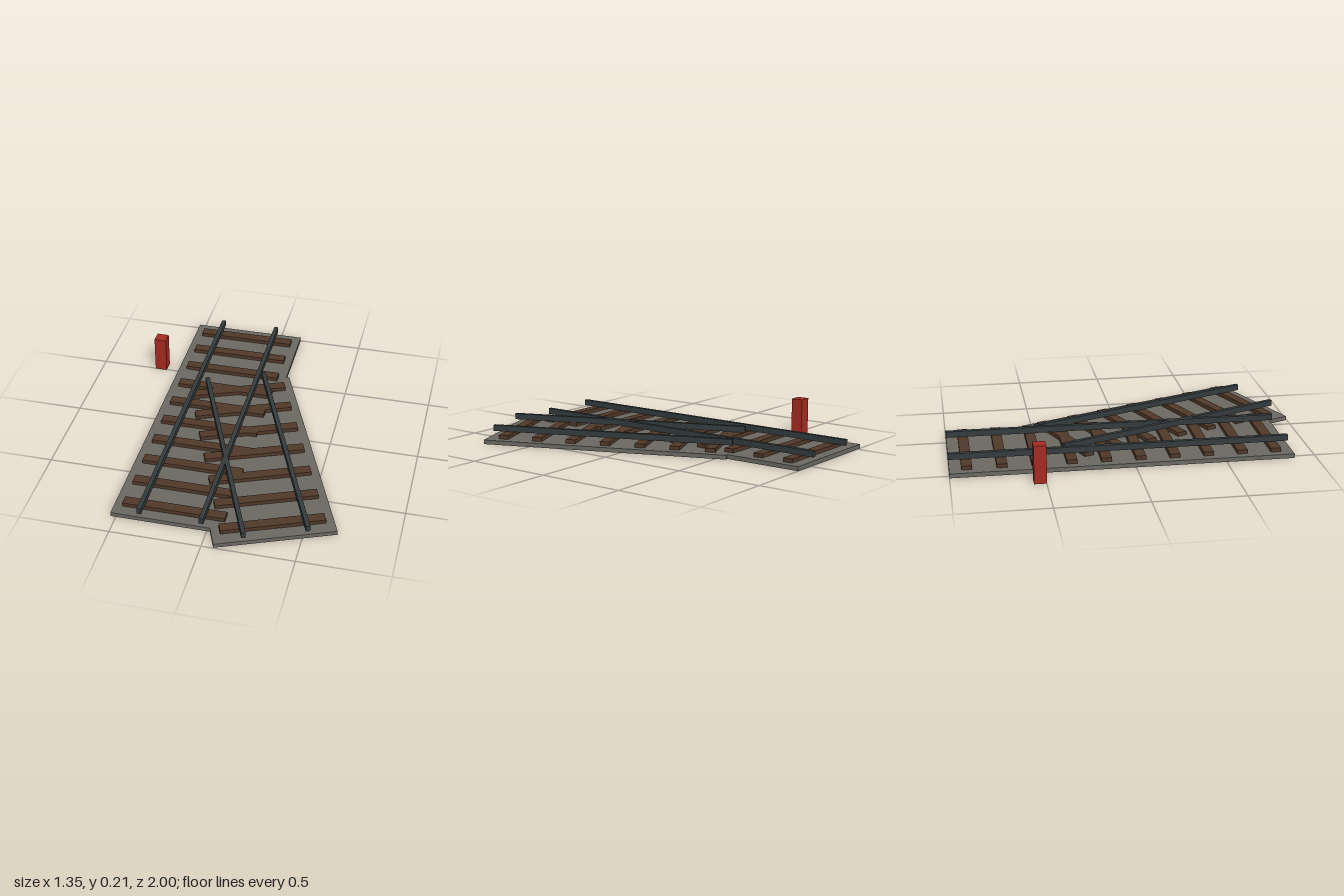
import * as THREE from 'three';

const mat = (name, color) => {
  const m = new THREE.MeshStandardMaterial({ color });
  m.name = name;
  return m;
};

// Box standing on height y0
function addBox(parent, name, material, [w, h, d], [x, y0, z]) {
  const mesh = new THREE.Mesh(new THREE.BoxGeometry(w, h, d), material);
  mesh.name = name;
  mesh.position.set(x, y0 + h / 2, z);
  parent.add(mesh);
  return mesh;
}

export function createModel() {
  const ballast = mat('ballast grey', 0x6b6862);
  const wood = mat('sleeper brown', 0x4f3828);
  const steel = mat('rail steel', 0x343b3d);
  const red = mat('signal red', 0xa32a20);

  const BED = 0.024, SLEEPER = 0.022, RAIL = 0.034;

  // One straight run of track: bed, evenly spaced sleepers and two rails
  function track(name, length, count) {
    const g = new THREE.Group();
    g.name = name;
    addBox(g, 'ballastBed', ballast, [0.658, BED, length], [0, 0, 0]);
    const step = length / count;
    for (let i = 0; i < count; i++) {
      const z = (i - (count - 1) / 2) * step;
      addBox(g, 'sleeper', wood, [0.565, SLEEPER, 0.057], [0, BED, z]);
    }
    for (const side of [-1, 1]) {
      addBox(g, 'rail', steel, [0.024, RAIL, length], [side * 0.17, BED + SLEEPER, 0]);
    }
    return g;
  }

  const model = new THREE.Group();
  model.name = 'railwaySwitch';

  const main = track('mainTrack', 1.88, 10);
  main.position.set(-0.2, 0, -0.06);

  // Diverging track, turned away from the main line
  const branch = track('branchTrack', 1.41, 7);
  branch.position.set(0.106, 0, 0.22);
  branch.rotation.y = THREE.MathUtils.degToRad(22);
  model.add(main, branch);

  // Switch post beside the main line
  addBox(model, 'switchPost', red, [0.07, 0.212, 0.068], [-0.644, 0, -0.532]);

  return model;
}
